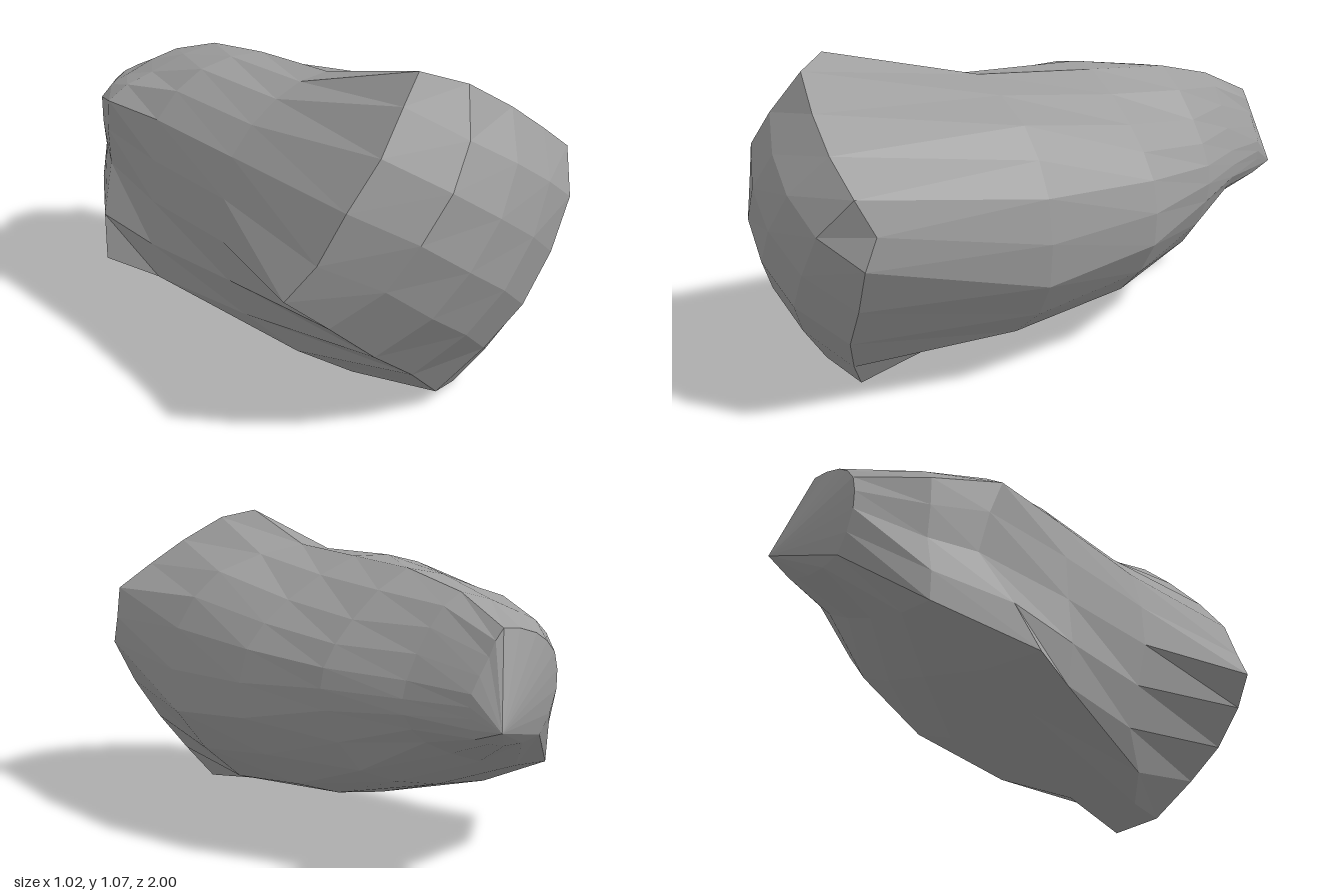
import * as THREE from 'three';

const N = 20; // points around each cross-section
const S = 5;  // front cap is an S x S patch of facets

// Rim of the front cap: left corner, top, right, bottom, clockwise
const rim = [
  [-0.51, 0.46, 0.70], [-0.44, 0.575, 0.76], [-0.37, 0.73, 0.80], [-0.26, 0.87, 0.81], [-0.15, 0.99, 0.77],
  [-0.06, 1.07, 0.73], [0.04, 1.04, 0.83], [0.20, 0.95, 0.85], [0.34, 0.86, 0.85], [0.48, 0.77, 0.83],
  [0.51, 0.66, 0.78], [0.51, 0.56, 0.82], [0.43, 0.40, 0.82], [0.33, 0.25, 0.82], [0.23, 0.115, 0.78],
  [0.14, 0.0, 0.73], [0.0, 0.045, 0.80], [-0.14, 0.17, 0.84], [-0.28, 0.27, 0.83], [-0.41, 0.38, 0.78],
].map((p) => new THREE.Vector3(...p));

// Cross-sections behind the rim, front to back, as [z, outline];
// an outline point may carry its own z
const sections = [
  [0.22, [[-0.41, 0.45], [-0.37, 0.73], [-0.20, 0.89], [0.0, 0.95], [0.33, 0.86],
    [0.49, 0.67], [0.50, 0.38], [0.26, 0.12], [-0.11, 0.02, 0.52], [-0.33, 0.17]]],
  [-0.20, [[-0.43, 0.46], [-0.40, 0.75], [-0.22, 0.90], [0.03, 0.925], [0.28, 0.79],
    [0.43, 0.64], [0.45, 0.42], [0.25, 0.18], [-0.08, 0.11], [-0.42, 0.17]]],
  [-0.50, [[-0.40, 0.49, -0.57], [-0.43, 0.75], [-0.25, 0.83], [0.02, 0.90], [0.22, 0.75],
    [0.32, 0.61], [0.32, 0.48], [0.19, 0.28], [-0.10, 0.20], [-0.51, 0.185, -0.42]]],
  [-0.72, [[-0.34, 0.50], [-0.35, 0.70], [-0.24, 0.77], [-0.02, 0.84], [0.09, 0.74],
    [0.17, 0.59], [0.18, 0.49], [0.10, 0.40], [-0.10, 0.32], [-0.36, 0.29]]],
  [-0.91, [[-0.23, 0.56], [-0.22, 0.67], [-0.15, 0.73], [-0.03, 0.75], [0.02, 0.67],
    [0.08, 0.57], [0.08, 0.50], [0.06, 0.44], [-0.04, 0.41], [-0.17, 0.43]]],
];
const tip = new THREE.Vector3(0.04, 0.47, -1);

function ringFrom([ringZ, outline]) {
  const curve = new THREE.CatmullRomCurve3(
    outline.map(([x, y, z = ringZ]) => new THREE.Vector3(x, y, z)), true, 'catmullrom', 0.4);
  return Array.from({ length: N }, (_, i) => curve.getPoint(i / N));
}

// Blend the four rim edges into a patch, then bulge the inner points forward
function capPoint(i, j) {
  const u = i / S, v = j / S;
  const left = rim[j], top = rim[S + i], right = rim[3 * S - j], bottom = rim[(N - i) % N];
  const p = new THREE.Vector3()
    .addScaledVector(left, 1 - u).addScaledVector(right, u)
    .addScaledVector(bottom, 1 - v).addScaledVector(top, v)
    .addScaledVector(rim[0], -(1 - u) * (1 - v)).addScaledVector(rim[S], -(1 - u) * v)
    .addScaledVector(rim[2 * S], -u * v).addScaledVector(rim[3 * S], -u * (1 - v));
  if (i % S && j % S) {
    p.x = 0.03 + (p.x - 0.03) * 0.9;
    p.y = 0.54 + (p.y - 0.54) * 0.9;
    p.z += 0.085 * Math.pow(16 * u * v * (1 - u) * (1 - v), 0.6);
  }
  return p;
}

export function createModel() {
  const triangles = [];
  const quad = (a, b, c, d) => triangles.push(a, b, c, a, c, d);

  // Front cap
  for (let i = 0; i < S; i++) {
    for (let j = 0; j < S; j++) {
      quad(capPoint(i, j), capPoint(i + 1, j), capPoint(i + 1, j + 1), capPoint(i, j + 1));
    }
  }

  // Sides, narrowing to the tip
  const rings = [rim, ...sections.map(ringFrom)];
  for (let k = 0; k < rings.length; k++) {
    for (let i = 0; i < N; i++) {
      const n = (i + 1) % N;
      const a = rings[k][i], b = rings[k][n];
      if (k + 1 < rings.length) quad(a, b, rings[k + 1][n], rings[k + 1][i]);
      else triangles.push(a, b, tip);
    }
  }

  const geometry = new THREE.BufferGeometry().setFromPoints(triangles);
  geometry.computeVertexNormals();
  const rock = new THREE.Mesh(geometry,
    new THREE.MeshStandardMaterial({ color: 0x9e9e9e, flatShading: true }));
  rock.name = 'rock';

  const group = new THREE.Group();
  group.name = 'boulder';
  group.add(rock);
  return group;
}
